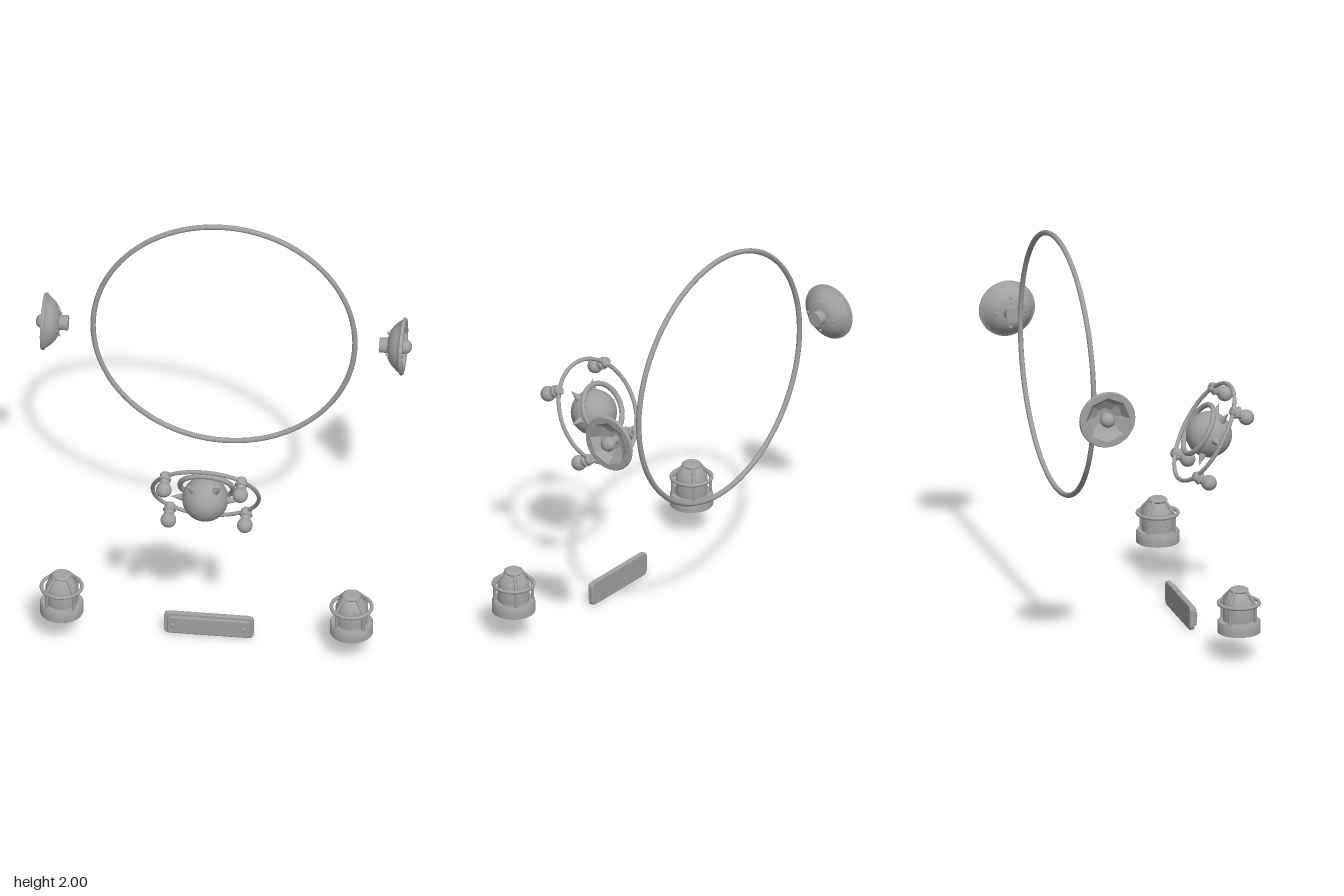
import * as THREE from 'three';
import { toCreasedNormals } from 'three/addons/utils/BufferGeometryUtils.js';

const grey = new THREE.MeshStandardMaterial({ color: 0xa0a0a0 });
grey.name = 'grey';

function add(parent, name, geometry, x = 0, y = 0, z = 0) {
  const mesh = new THREE.Mesh(geometry, grey);
  mesh.name = name;
  mesh.position.set(x, y, z);
  parent.add(mesh);
  return mesh;
}

function addGroup(parent, name, x, y, z) {
  const group = new THREE.Group();
  group.name = name;
  group.position.set(x, y, z);
  parent.add(group);
  return group;
}

const lathe = (points, segments = 32) =>
  toCreasedNormals(new THREE.LatheGeometry(points.map(p => new THREE.Vector2(...p)), segments), 0.6);

// Rounded rectangular slab with its back on z = 0
function slab(w, h, r, depth, bevel) {
  const x = w / 2 - bevel, y = h / 2 - bevel;
  const s = new THREE.Shape();
  s.moveTo(-x + r, -y);
  s.lineTo(x - r, -y).quadraticCurveTo(x, -y, x, -y + r);
  s.lineTo(x, y - r).quadraticCurveTo(x, y, x - r, y);
  s.lineTo(-x + r, y).quadraticCurveTo(-x, y, -x, y - r);
  s.lineTo(-x, -y + r).quadraticCurveTo(-x, -y, -x + r, -y);
  const g = new THREE.ExtrudeGeometry(s, {
    depth: depth - 2 * bevel, bevelSize: bevel, bevelThickness: bevel, bevelSegments: 2, curveSegments: 6,
  });
  return g.translate(0, 0, bevel);
}

// Side dish: local +y points out of the bowl
function addDish(parent, side) {
  const dish = addGroup(parent, side > 0 ? 'leftDish' : 'rightDish', side * 0.757, 1.35, -0.395);
  dish.rotation.z = -side * Math.PI / 2;
  add(dish, 'dishShell', lathe([
    [0, 0.042], [0.05, 0.042], [0.075, 0.05], [0.1, 0.068], [0.12, 0.09],
    [0.132, 0.106], [0.14, 0.109], [0.14, 0.117], [0.136, 0.123],
  ], 40));
  // flat rim with an octagonal opening
  const rim = new THREE.Shape().absarc(0, 0, 0.136, 0, Math.PI * 2);
  const hole = new THREE.Path();
  for (let i = 0; i <= 8; i++) {
    const a = i * Math.PI / 4;
    hole[i ? 'lineTo' : 'moveTo'](0.112 * Math.cos(a), 0.112 * Math.sin(a));
  }
  rim.holes.push(hole);
  add(dish, 'dishRim', new THREE.ShapeGeometry(rim, 24).rotateX(-Math.PI / 2), 0, 0.123, 0);
  // faceted reflector
  const bowl = new THREE.LatheGeometry(
    [[0.112, 0.123], [0.085, 0.085], [0.045, 0.062], [0, 0.055]].map(p => new THREE.Vector2(...p)), 8).toNonIndexed();
  bowl.computeVertexNormals();
  add(dish, 'dishReflector', bowl);
  add(dish, 'dishBulbNeck', new THREE.CylinderGeometry(0.02, 0.02, 0.06, 16), 0, 0.085, 0);
  add(dish, 'dishBulb', new THREE.SphereGeometry(0.037, 24, 16), 0, 0.121, 0);
  add(dish, 'dishMount', new THREE.CylinderGeometry(0.037, 0.037, 0.06, 24), 0, 0.03, 0);
  for (let i = 0; i < 4; i++) {
    const a = i * Math.PI / 2;
    add(dish, 'dishBolt', new THREE.SphereGeometry(0.008, 10, 8), 0.075 * Math.cos(a), 0.046, 0.075 * Math.sin(a));
  }
}

// Caged lantern
function addLantern(parent, side) {
  const lamp = addGroup(parent, side > 0 ? 'leftLantern' : 'rightLantern', side * 0.705, 0.15, 0.315);
  add(lamp, 'lanternBase', lathe([
    [0, 0], [0.105, 0], [0.105, 0.052], [0.1, 0.06], [0, 0.06],
  ]));
  add(lamp, 'lanternGlass', lathe([
    [0.078, 0.055], [0.078, 0.145], [0.07, 0.165], [0.045, 0.2], [0.035, 0.205], [0, 0.205],
  ]));
  add(lamp, 'lanternCap', lathe([
    [0.036, 0.198], [0.047, 0.208], [0.047, 0.214], [0.036, 0.222], [0, 0.222],
  ]));
  add(lamp, 'cageRing', new THREE.TorusGeometry(0.098, 0.009, 10, 40).rotateX(Math.PI / 2), 0, 0.145, 0);
  const path = new THREE.CurvePath();
  const pts = [[0.092, 0.055], [0.092, 0.142], [0.086, 0.158], [0.04, 0.21]].map(p => new THREE.Vector3(p[0], p[1], 0));
  for (let i = 0; i < 3; i++) path.add(new THREE.LineCurve3(pts[i], pts[i + 1]));
  for (let i = 0; i < 4; i++) {
    add(lamp, 'cageBar', new THREE.TubeGeometry(path, 24, 0.008, 8)).rotation.y = Math.PI / 4 + i * Math.PI / 2;
  }
}

// Spiked globe inside tilted rings, with four bulbs; local +z faces forward and down
function addGlobe(parent) {
  const globe = addGroup(parent, 'globeLamp', 0, 0.933, 0.345);
  globe.rotation.x = 0.535;
  add(globe, 'globe', new THREE.SphereGeometry(0.112, 32, 24), 0, 0, 0.027);
  add(globe, 'outerRing', new THREE.TorusGeometry(0.258, 0.01, 10, 64));
  add(globe, 'innerRing', new THREE.TorusGeometry(0.129, 0.013, 10, 48), 0, 0, -0.034);
  for (let i = 0; i < 6; i++) {
    const spike = addGroup(globe, 'spikeArm', 0, 0, 0.027);
    spike.rotation.z = i * Math.PI / 3;
    add(spike, 'spike', new THREE.ConeGeometry(0.021, 0.068, 16).rotateZ(-Math.PI / 2), 0.136, 0, 0);
  }
  for (const sx of [-1, 1]) for (const sy of [-1, 1]) {
    const bulb = addGroup(globe, 'bulb', sx * 0.186, sy * 0.184, 0);
    bulb.rotation.x = Math.PI / 2;
    add(bulb, 'bulbSocket', lathe([
      [0, -0.016], [0.018, -0.016], [0.026, -0.006], [0.026, 0.012], [0.031, 0.016],
      [0.031, 0.024], [0.024, 0.028], [0.024, 0.055],
    ], 20));
    add(bulb, 'bulbGlass', new THREE.SphereGeometry(0.038, 24, 16), 0, 0.074, 0);
  }
}

// Bolted plate
function addPlate(parent) {
  const plate = addGroup(parent, 'plate', 0, 0.0605, 0.21);
  add(plate, 'plateBack', slab(0.436, 0.121, 0.022, 0.024, 0.005));
  add(plate, 'platePanel', slab(0.4, 0.09, 0.014, 0.018, 0.003), 0, 0, 0.022);
  for (const s of [-1, 1]) {
    const bolt = add(plate, 'plateBolt', new THREE.SphereGeometry(0.011, 16, 10), s * 0.173, 0, 0.04);
    bolt.scale.z = 0.9;
  }
}

export function createModel() {
  const model = new THREE.Group();
  model.name = 'lampSet';
  add(model, 'largeRing', new THREE.TorusGeometry(0.637, 0.013, 8, 96), 0, 1.35, -0.395);
  for (const side of [-1, 1]) {
    addDish(model, side);
    addLantern(model, side);
  }
  addGlobe(model);
  addPlate(model);
  return model;
}
